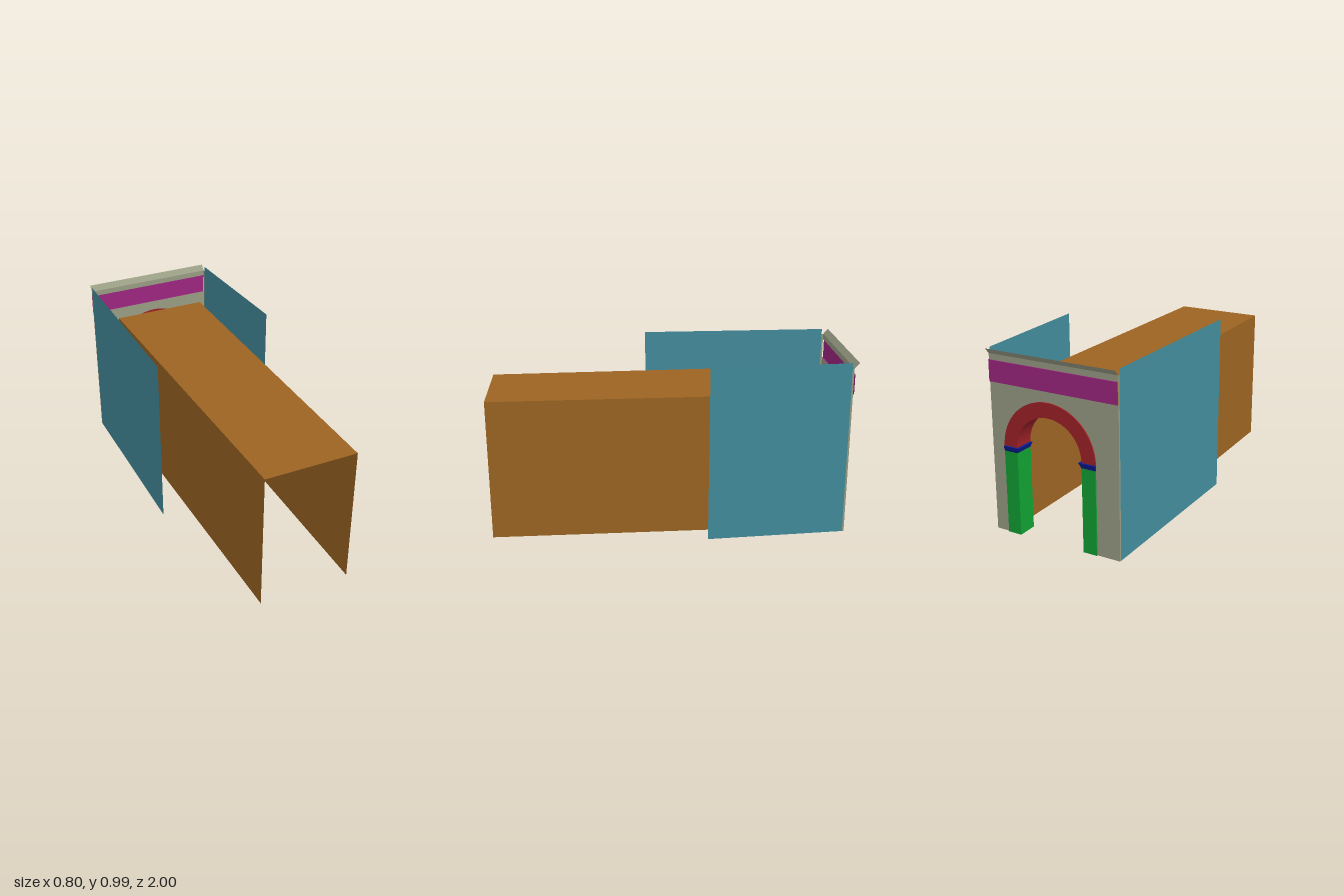
import * as THREE from 'three';

const mat = (color) => new THREE.MeshStandardMaterial({ color, side: THREE.DoubleSide, flatShading: true });
const OCHRE = mat(0x9c6422), TEAL = mat(0x438c9d), STONE = mat(0x989d84);
const RED = mat(0x9e2127), GREEN = mat(0x11a033), PURPLE = mat(0x9d2680), BLUE = mat(0x0c1c98);
const RED_SMOOTH = RED.clone();
RED_SMOOTH.flatShading = false;

// Arch and depth dimensions
const CX = 0.003, SPRING = 0.483, R_IN = 0.193, R_OUT = 0.272;
const Z_WALL = -0.973, Z_ARCH = -0.98, Z_INNER = -0.87;
const X0 = -0.4, X1 = 0.352;

export function createModel() {
  const root = new THREE.Group();

  const add = (name, geometry, material, z = 0) => {
    const mesh = new THREE.Mesh(geometry, material);
    mesh.name = name;
    mesh.position.z = z;
    root.add(mesh);
    return mesh;
  };

  // Surface spanned between two polylines with the same number of points
  const strip = (a, b) => {
    const geo = new THREE.BufferGeometry();
    const index = [];
    const n = a.length;
    for (let i = 0; i < n - 1; i++) index.push(i, n + i, i + 1, i + 1, n + i, n + i + 1);
    geo.setAttribute('position', new THREE.Float32BufferAttribute([...a, ...b].flat(), 3));
    geo.setIndex(index);
    geo.computeVertexNormals();
    return geo;
  };

  // Profile of [y, z] points drawn across the width of the facade
  const across = (profile) => strip(
    profile.map(([y, z]) => [X0, y, z]),
    profile.map(([y, z]) => [X1, y, z])
  );

  // Half circle of 3D points
  const arc = (r, z) => Array.from({ length: 49 }, (_, i) => {
    const t = (i / 48) * Math.PI;
    return [CX + r * Math.cos(t), SPRING + r * Math.sin(t), z];
  });

  // Long passage: two side walls and a flat roof, open at the far end
  const H = 0.795;
  add('passage', strip(
    [[-0.27, 0, Z_INNER], [-0.27, H, Z_INNER], [0.275, H, Z_INNER], [0.275, 0, Z_INNER]],
    [[-0.222, 0, 1], [-0.222, H, 1], [0.292, H, 1], [0.292, 0, 1]]
  ), OCHRE);

  // Passage end wall above the arch
  const end = new THREE.Shape();
  end.moveTo(0.275, SPRING);
  end.lineTo(0.275, H);
  end.lineTo(-0.27, H);
  end.lineTo(-0.27, SPRING);
  end.absarc(CX, SPRING, R_OUT, Math.PI, 0, true);
  add('passageEndWall', new THREE.ShapeGeometry(end, 48), OCHRE, Z_INNER);

  // Flanking side walls
  const sideWall = (name, xBack, xFront, zFront) => add(name, strip(
    [[xBack, 0, -0.963], [xBack, 0.987, -0.963]],
    [[xFront, 0, zFront], [xFront, 0.987, zFront]]
  ), TEAL);
  sideWall('leftSideWall', X1, 0.4, -0.195);
  sideWall('rightSideWall', X0, X0, 0.108);

  // Facade with arched opening down to the ground
  const wall = new THREE.Shape();
  wall.moveTo(X0, 0);
  wall.lineTo(CX - R_OUT, 0);
  wall.lineTo(CX - R_OUT, SPRING);
  wall.absarc(CX, SPRING, R_OUT, Math.PI, 0, true);
  wall.lineTo(CX + R_OUT, 0);
  wall.lineTo(X1, 0);
  wall.lineTo(X1, 0.812);
  wall.lineTo(X0, 0.812);
  add('facade', new THREE.ShapeGeometry(wall, 48), STONE, Z_WALL);

  // Narrow returns at the facade edges
  for (const x of [X0, X1]) {
    add('facadeReturn', strip(
      [[x, 0, -0.963], [x, 0.957, -0.963]],
      [[x, 0, Z_WALL], [x, 0.957, Z_WALL]]
    ), STONE);
  }

  // Raised band, then the plain strip and sloping cornice above it
  add('band', across([[0.812, Z_WALL], [0.812, -0.979], [0.925, -0.979], [0.925, Z_WALL]]), PURPLE);
  add('cornice', across([[0.925, Z_WALL], [0.957, Z_WALL], [0.987, -1]]), STONE);

  // Arch: outer lip, front face, soffit and inner face
  add('archLip', strip(arc(R_OUT, Z_WALL), arc(R_OUT, Z_ARCH)), RED_SMOOTH);
  add('archFace', strip(arc(R_OUT, Z_ARCH), arc(R_IN, Z_ARCH)), RED);
  add('archSoffit', strip(arc(R_IN, Z_ARCH), arc(R_IN, Z_INNER)), RED_SMOOTH);
  add('archInnerFace', strip(arc(R_IN, Z_INNER), arc(R_OUT, Z_INNER)), RED);

  // Piers with flared imposts
  const w = R_OUT - R_IN, d = Z_INNER - Z_ARCH;
  for (const s of [-1, 1]) {
    const x = CX + s * (R_IN + R_OUT) / 2;
    const z = (Z_ARCH + Z_INNER) / 2;
    const pier = add('pier', new THREE.BoxGeometry(w, 0.455, d), GREEN, z);
    pier.position.set(x, 0.2275, z);

    const geo = new THREE.BoxGeometry(w, 0.028, d);
    const p = geo.attributes.position;
    for (let i = 0; i < p.count; i++) {
      if (p.getY(i) < 0) continue;
      // the top flares toward the opening and outward from the facade
      if (p.getX(i) * s < 0) p.setX(i, p.getX(i) - s * 0.014);
      if (p.getZ(i) < 0) p.setZ(i, p.getZ(i) - 0.009);
    }
    geo.computeVertexNormals();
    const impost = add('impost', geo, BLUE, z);
    impost.position.set(x, 0.469, z);
  }

  return root;
}
